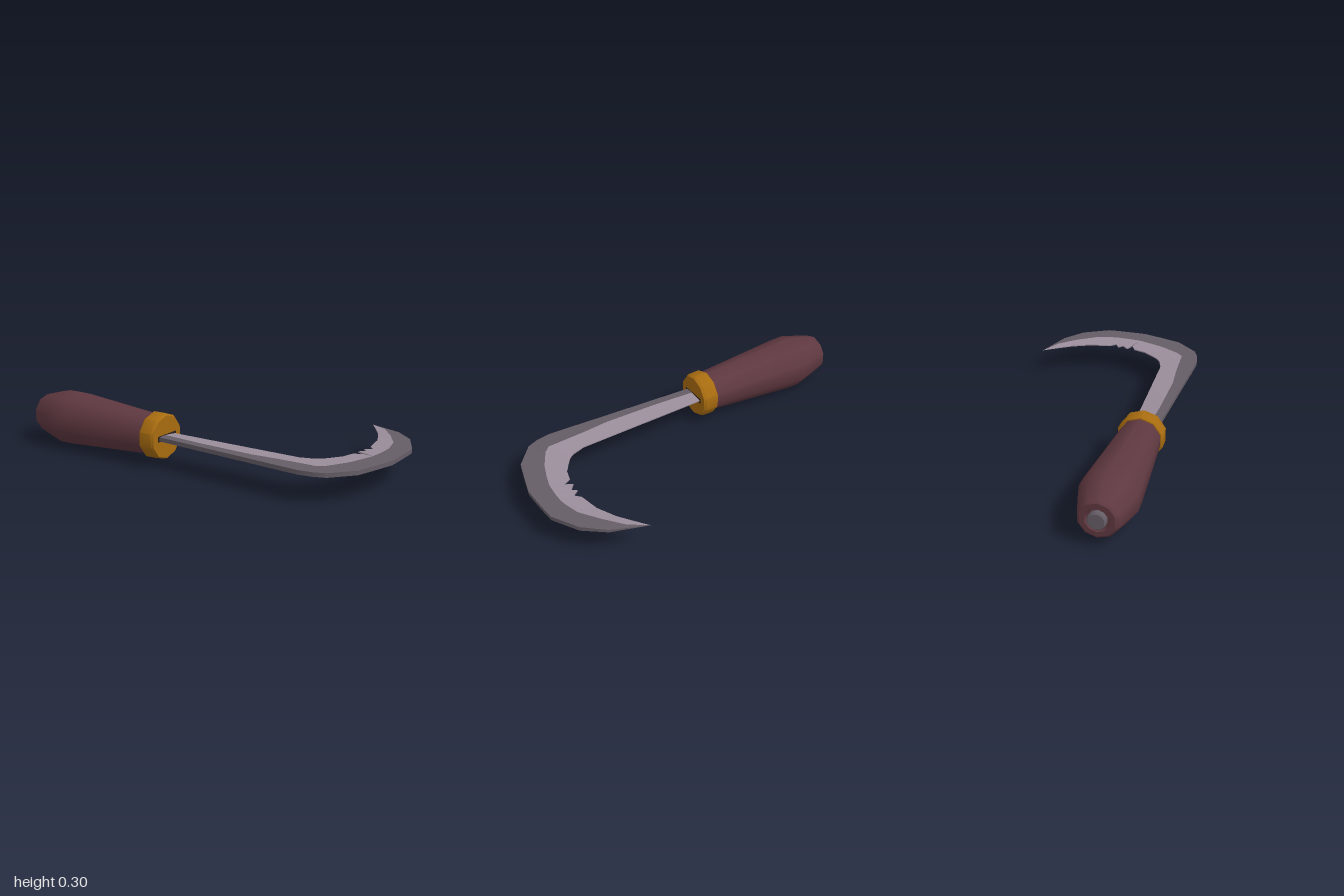
import * as THREE from 'three';
import { toCreasedNormals } from 'three/addons/utils/BufferGeometryUtils.js';

const AXIS_Y = 0.15, AXIS_Z = 0.335, BLADE_Y = 0.151;
const SPINE = 0.011, RIDGE = 0.012, EDGE = 0.003; // half thicknesses

const paint = (color, side = THREE.FrontSide) => new THREE.MeshStandardMaterial({ color, side });

// Ten-sided turned part along x, from [x, radius] points
function turned(name, profile, material) {
  const geo = new THREE.LatheGeometry(profile.map(([x, r]) => new THREE.Vector2(r, x)), 10, Math.PI / 2);
  geo.rotateZ(-Math.PI / 2);
  const mesh = new THREE.Mesh(toCreasedNormals(geo, 0.7), material);
  mesh.name = name;
  mesh.position.set(0, AXIS_Y, AXIS_Z);
  return mesh;
}

// Lofted strips between neighbouring rails; normals stay sharp across the rails
function strips(name, rails, material) {
  const pos = [], index = [];
  for (let r = 0; r < rails.length - 1; r++) {
    const n = rails[r].length, base = pos.length / 3;
    for (const rail of [rails[r], rails[r + 1]]) for (const p of rail) pos.push(...p);
    for (let i = 0; i < n - 1; i++) {
      const a = base + i, b = a + n;
      index.push(a, a + 1, b + 1, a, b + 1, b);
    }
  }
  const geo = new THREE.BufferGeometry();
  geo.setAttribute('position', new THREE.Float32BufferAttribute(pos, 3));
  geo.setIndex(index);
  geo.computeVertexNormals();
  const mesh = new THREE.Mesh(geo, material);
  mesh.name = name;
  return mesh;
}

export function createModel() {
  const model = new THREE.Group();
  const steel = paint(0x655d66, THREE.DoubleSide);
  const brightSteel = paint(0x9c8e9c, THREE.DoubleSide);

  // Wooden grip, tang end and collar
  model.add(turned('grip', [
    [-0.97, 0], [-0.97, 0.055], [-0.985, 0.062], [-0.985, 0.088], [-0.975, 0.1],
    [-0.86, 0.133], [-0.8, 0.148], [-0.73, 0.147], [-0.22, 0.109], [-0.2, 0.108], [-0.2, 0],
  ], paint(0x5f3840)));
  model.add(turned('tangEnd', [[-1, 0], [-1, 0.04], [-0.995, 0.046], [-0.95, 0.046]], steel));
  model.add(turned('collar', [
    [-0.225, 0.1], [-0.225, 0.115], [-0.215, 0.123], [-0.15, 0.121], [-0.135, 0.113], [-0.135, 0],
  ], paint(0xa86c10)));

  // Dark slot around the blade root
  const slot = new THREE.Mesh(new THREE.BoxGeometry(0.01, 0.03, 0.145), paint(0x2a2018));
  slot.name = 'bladeSlot';
  slot.position.set(-0.139, BLADE_Y, 0.335);
  model.add(slot);

  // Blade stations: outer x, z, ridge x, z, inner x, z
  const stations = [
    [-0.2, 0.392, -0.2, 0.345, -0.2, 0.272],
    [0.1, 0.406, 0.1, 0.36, 0.1, 0.262],
    [0.4, 0.419, 0.4, 0.362, 0.4, 0.252],
    [0.6, 0.429, 0.55, 0.347, 0.6, 0.245],
    [0.71, 0.433, 0.7, 0.338, 0.674, 0.22],
    [0.78, 0.42, 0.755, 0.335, 0.7, 0.2],
    [0.84, 0.395, 0.79, 0.3, 0.727, 0.165],
    [0.94, 0.278, 0.845, 0.2, 0.765, 0.11],
    [0.972, 0.165, 0.873, 0.12, 0.782, 0.045],
    [1.0, 0.06, 0.893, 0.05, 0.83, 0.02], // first chip
    [1.0, 0.0, 0.898, 0.0, 0.785, 0.0],
    [0.999, -0.04, 0.9, -0.03, 0.815, -0.035], // second chip
    [0.998, -0.07, 0.9, -0.06, 0.79, -0.055],
    [0.997, -0.1, 0.9, -0.09, 0.825, -0.08], // third chip
    [0.996, -0.13, 0.896, -0.12, 0.797, -0.11],
    [0.992, -0.17, 0.872, -0.21, 0.775, -0.225],
    [0.914, -0.31, 0.8, -0.315, 0.727, -0.326],
    [0.807, -0.4, 0.72, -0.41, 0.675, -0.4],
    [0.62, -0.472, 0.62, -0.472, 0.62, -0.472],
  ];
  // Rails keep full thickness along the blade and close to a point at the tip
  const rail = (k, h) => stations.map((s, i) => {
    const taper = Math.min(1, (stations.length - 1 - i) / 1.5);
    return [s[k], BLADE_Y + h * taper, s[k + 1]];
  });
  const blade = new THREE.Group();
  blade.name = 'blade';
  blade.add(strips('bladeSpine', [rail(2, -RIDGE), rail(0, -SPINE), rail(0, SPINE), rail(2, RIDGE)], steel));
  blade.add(strips('bladeBevel', [rail(2, RIDGE), rail(4, EDGE), rail(4, -EDGE), rail(2, -RIDGE)], brightSteel));
  model.add(blade);

  return model;
}
